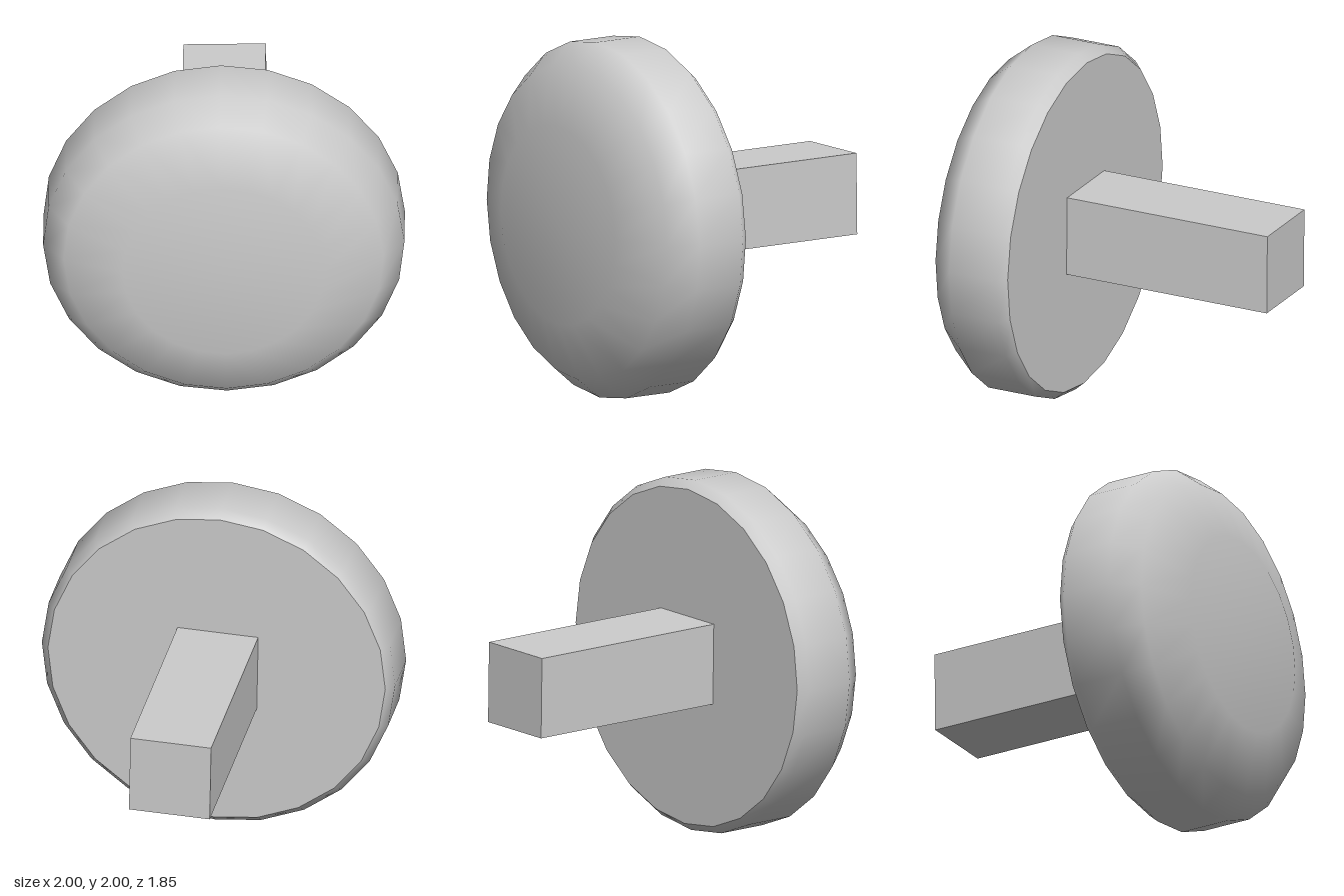
import * as THREE from 'three';

const SIDES = 24;

export function createModel() {
  const model = new THREE.Group();
  model.name = 'roundKnob';
  const material = new THREE.MeshStandardMaterial({ color: 0xcccccc });

  // The whole knob is turned slightly about its own axis
  const knob = new THREE.Group();
  knob.name = 'knob';
  knob.position.y = 1;
  knob.rotation.z = THREE.MathUtils.degToRad(1);
  model.add(knob);

  const add = (name, geometry) => {
    const mesh = new THREE.Mesh(geometry, material);
    mesh.name = name;
    knob.add(mesh);
    return mesh;
  };

  // Rounded head: radius and depth, from the back bevel to the front face
  const profile = [
    [0.955, 0.315], [1, 0.365], [1, 0.655], [0.885, 0.797], [0.56, 0.925], [0, 0.925],
  ].map(([r, z]) => new THREE.Vector2(r, z));
  add('head', new THREE.LatheGeometry(profile, SIDES).rotateX(Math.PI / 2));

  // Flat back of the head, with a sharp edge
  const back = add('headBack', new THREE.CircleGeometry(0.955, SIDES).rotateY(Math.PI));
  back.position.z = 0.315;

  // Square shaft
  const shaft = add('shaft', new THREE.BoxGeometry(0.457, 0.457, 1.24));
  shaft.position.set(-0.003, 0.003, -0.305);

  return model;
}
